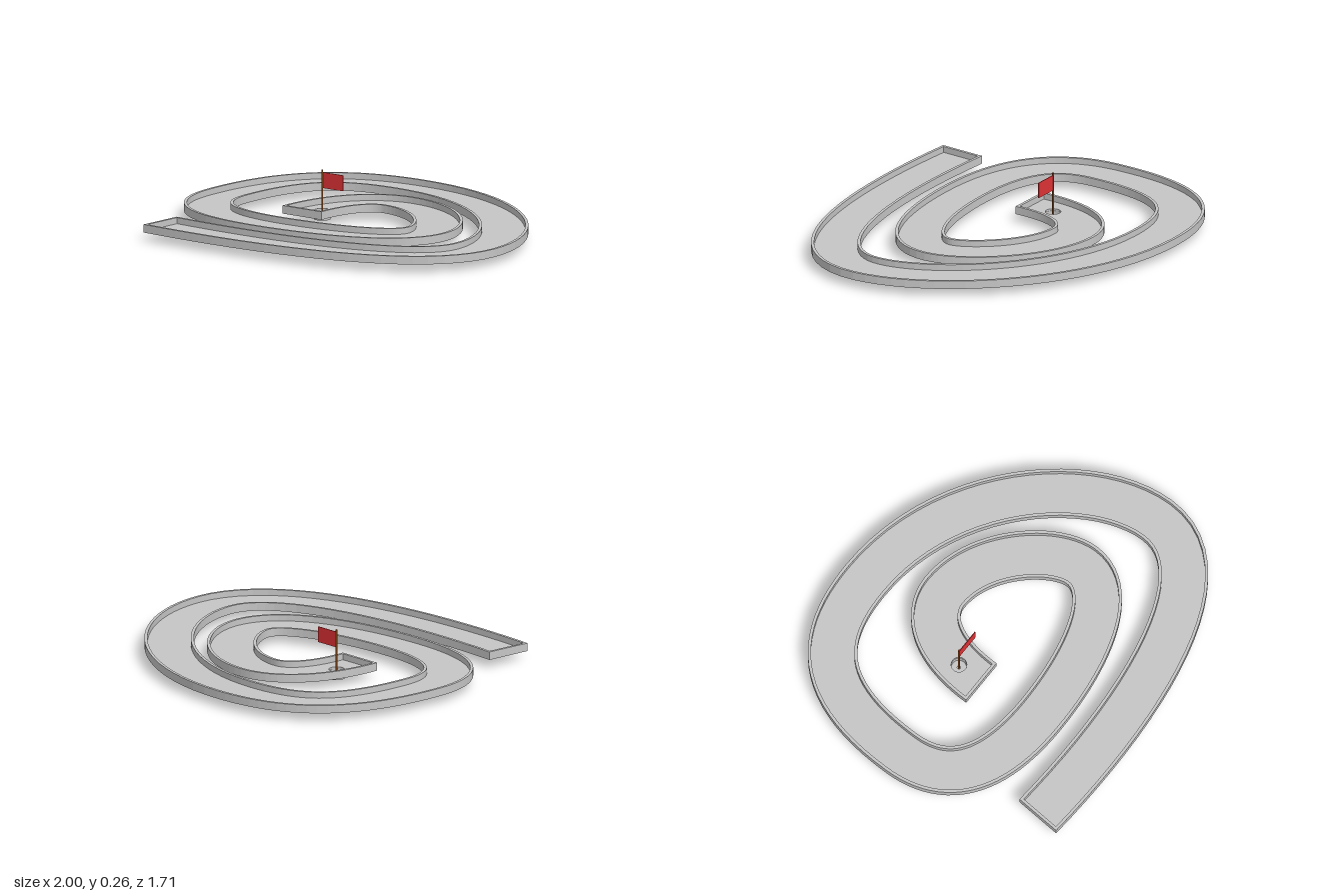
import * as THREE from 'three';
import { toCreasedNormals } from 'three/addons/utils/BufferGeometryUtils.js';

const HALF = 0.123;   // half width of the lane
const RIM = 0.015;    // thickness of the kerb
const BASE = 0.042, FLOOR = 0.052, TOP = 0.083;
const CUP = { x: -0.328, z: -0.092, r: 0.042 };

// centre line of the spiral lane in (x, z): start, then cubic segments
const START = [-0.34, 0.058];
const SEGMENTS = [
  [-0.34, -0.258, -0.205, -0.38, -0.07, -0.38],
  [0.207, -0.38, 0.454, -0.094, 0.454, 0.075],
  [0.454, 0.297, 0.081, 0.395, -0.29, 0.395],
  [-0.719, 0.395, -0.877, 0.224, -0.877, -0.03],
  [-0.877, -0.584, -0.633, -0.731, -0.265, -0.731],
  [0.382, -0.731, 0.877, -0.18, 0.877, 0.22],
  [0.877, 0.665, 0.075, 0.775, -0.725, 0.712],
];

// closed outline of the lane at a given half width, ends pulled in by trim
function laneOutline(half, trim) {
  const sideA = [], sideB = [];
  let p = START;
  SEGMENTS.forEach((s, i) => {
    const curve = new THREE.CubicBezierCurve(
      new THREE.Vector2(p[0], -p[1]), new THREE.Vector2(s[0], -s[1]),
      new THREE.Vector2(s[2], -s[3]), new THREE.Vector2(s[4], -s[5]));
    p = [s[4], s[5]];
    const n = 22;
    for (let k = i === 0 ? 0 : 1; k <= n; k++) {
      const c = curve.getPoint(k / n), t = curve.getTangent(k / n);
      if (i === 0 && k === 0) c.addScaledVector(t, trim);
      if (i === SEGMENTS.length - 1 && k === n) c.addScaledVector(t, -trim);
      const normal = new THREE.Vector2(-t.y, t.x);
      sideA.push(c.clone().addScaledVector(normal, half));
      sideB.push(c.clone().addScaledVector(normal, -half));
    }
  });
  return sideA.concat(sideB.reverse());
}

// extrude a plan shape upwards between two heights
function slab(shape, y0, y1) {
  const g = new THREE.ExtrudeGeometry(shape, { depth: y1 - y0, bevelEnabled: false, curveSegments: 24 });
  return g.rotateX(-Math.PI / 2).translate(0, y0, 0);
}

export function createModel() {
  const group = new THREE.Group();
  const material = (name, color) => {
    const m = new THREE.MeshStandardMaterial({ color });
    m.name = name;
    return m;
  };
  const grey = material('concrete grey', 0xc6c6c6);
  const brown = material('pole brown', 0x8b4a1c);
  const red = material('flag red', 0xde3236);
  const add = (name, geometry, mat) => {
    const mesh = new THREE.Mesh(geometry, mat);
    mesh.name = name;
    group.add(mesh);
    return mesh;
  };

  // lane floor with the hole cut out (holes wind against the outline)
  const floor = new THREE.Shape(laneOutline(HALF, 0));
  const hole = new THREE.Path();
  hole.absarc(CUP.x, -CUP.z, CUP.r - 0.003, 0, Math.PI * 2, false);
  floor.holes.push(hole);
  add('laneFloor', slab(floor, BASE, FLOOR), grey);

  // kerb all the way round the lane
  const kerb = new THREE.Shape(laneOutline(HALF, 0));
  kerb.holes.push(new THREE.Path(laneOutline(HALF - RIM, RIM).reverse()));
  add('kerb', slab(kerb, FLOOR, TOP), grey);

  // cup hanging under the hole, with a small drain in its bottom
  const r = CUP.r, drain = 0.009;
  const profile = [
    [drain, 0.007], [r, 0.007], [r, BASE], [r - 0.004, BASE],
    [r - 0.004, 0.011], [drain, 0.011], [drain, 0.007],
  ].map(([x, y]) => new THREE.Vector2(x, y));
  add('cup', toCreasedNormals(new THREE.LatheGeometry(profile, 24), 0.6), grey)
    .position.set(CUP.x, 0, CUP.z);

  // pole and flag
  add('flagPole', new THREE.CylinderGeometry(0.005, 0.005, 0.257, 12), brown)
    .position.set(CUP.x, 0.1285, CUP.z);
  add('flag', new THREE.BoxGeometry(0.126, 0.08, 0.004), red)
    .position.set(CUP.x + 0.068, 0.205, CUP.z);

  return group;
}
